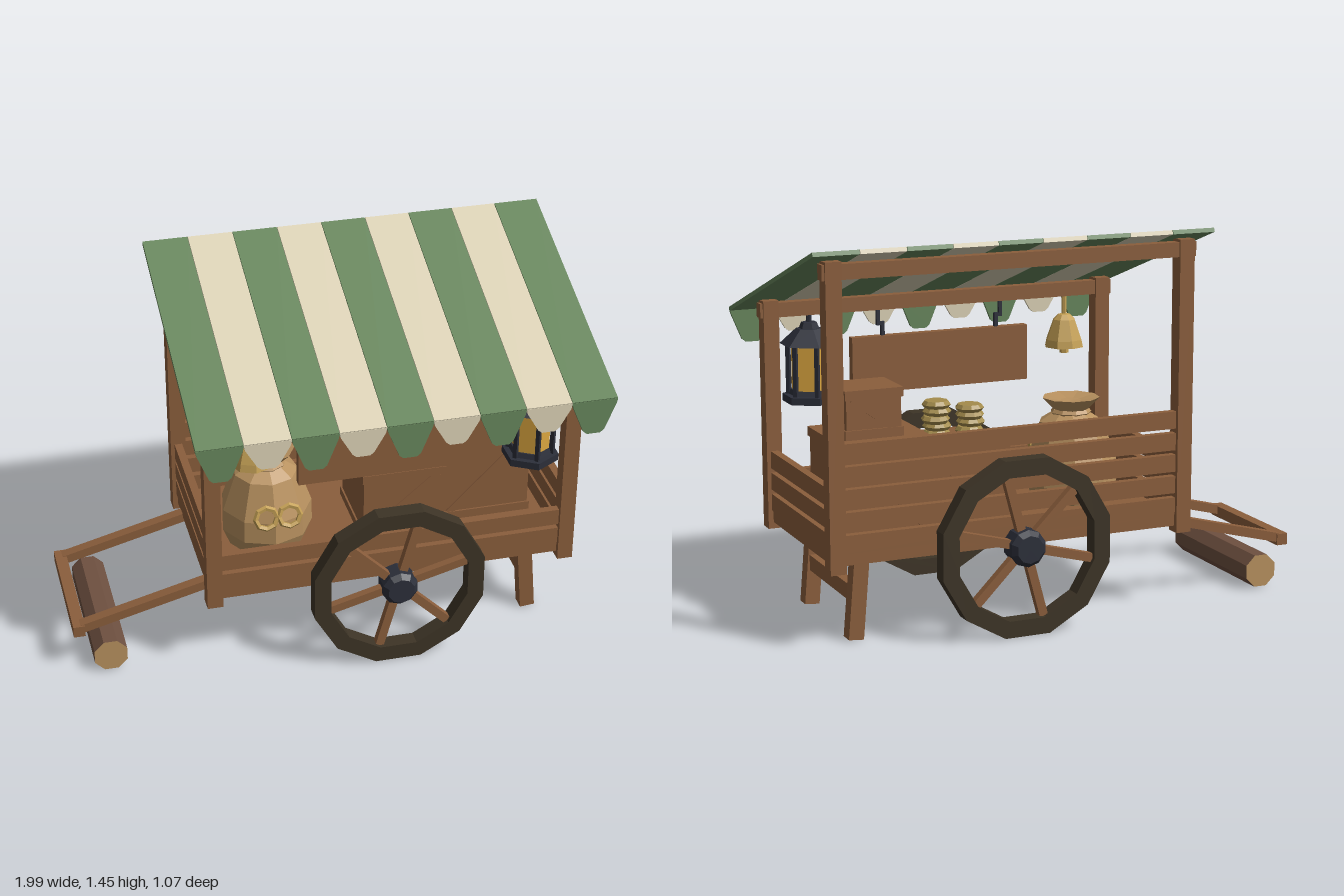
import * as THREE from 'three';

const mat = (name, color) => {
  const m = new THREE.MeshStandardMaterial({ color, flatShading: true });
  m.name = name;
  return m;
};

export function createModel() {
  const wood = mat('wood', 0x8b5e3c), green = mat('green cloth', 0x67865c), cream = mat('cream cloth', 0xdcd2b6);
  const tyre = mat('dark tyre', 0x3d3426), iron = mat('iron', 0x2c2f3a), amber = mat('amber glass', 0xdba63f);
  const sackcloth = mat('sackcloth', 0xb8915f), brass = mat('brass', 0xc4a055), biscuit = mat('biscuit', 0xa48c4c);
  const bark = mat('bark', 0x6e5040);
  sackcloth.side = THREE.DoubleSide;

  const root = new THREE.Group();
  root.name = 'marketCart';
  const group = (name, x = 0, y = 0, z = 0) => {
    const g = new THREE.Group();
    g.name = name;
    g.position.set(x, y, z);
    root.add(g);
    return g;
  };
  const add = (parent, name, geo, material, x = 0, y = 0, z = 0) => {
    const m = new THREE.Mesh(geo, material);
    m.name = name;
    m.position.set(x, y, z);
    parent.add(m);
    return m;
  };
  // box given by its limits on each axis
  const box = (parent, name, material, x0, x1, y0, y1, z0, z1) =>
    add(parent, name, new THREE.BoxGeometry(x1 - x0, y1 - y0, z1 - z0), material,
      (x0 + x1) / 2, (y0 + y1) / 2, (z0 + z1) / 2);
  // beam between two points
  const bar = (parent, name, material, a, b, w, d = w) => {
    const p = new THREE.Vector3(...a), q = new THREE.Vector3(...b), dir = q.clone().sub(p);
    const m = add(parent, name, new THREE.BoxGeometry(w, dir.length(), d), material);
    m.position.copy(p).add(q).multiplyScalar(0.5);
    m.quaternion.setFromUnitVectors(new THREE.Vector3(0, 1, 0), dir.normalize());
    return m;
  };
  const cyl = (parent, name, material, rTop, rBottom, h, sides, x, y, z) =>
    add(parent, name, new THREE.CylinderGeometry(rTop, rBottom, h, sides), material, x, y, z);

  const L = -0.475, R = 0.905, F = 0.313, B = -0.385;

  // bed, posts and slatted sides
  const body = group('cartBody');
  box(body, 'floor', wood, L - 0.01, R + 0.01, 0.315, 0.36, B - 0.01, F + 0.01);
  for (const x of [L, R]) {
    box(body, 'frontPost', wood, x - 0.03, x + 0.03, 0.29, 1.165, F - 0.03, F + 0.03);
    box(body, 'backPost', wood, x - 0.03, x + 0.03, 0.29, 1.405, B - 0.03, B + 0.03);
  }
  for (let i = 0; i < 5; i++) {
    const y0 = 0.36 + i * 0.083, y1 = y0 + 0.066;
    box(body, 'backSlat', wood, L, R, y0, y1, B - 0.015, B + 0.015);
    if (i < 2) box(body, 'frontSlat', wood, L, R, y0, y1, F - 0.015, F + 0.015);
    if (i < 3) for (const x of [L, R]) box(body, 'sideSlat', wood, x - 0.015, x + 0.015, y0, y1, B, F);
  }
  box(body, 'frontBeam', wood, L - 0.04, R + 0.04, 1.1, 1.155, F - 0.022, F + 0.022);
  box(body, 'backBeam', wood, L - 0.04, R + 0.04, 1.34, 1.395, B - 0.022, B + 0.022);

  // striped awning with hanging scallops
  const awning = group('awning');
  const w = 0.1733;
  for (let i = 0; i < 9; i++) {
    const x = -0.567 + w * (i + 0.5), m = i % 2 ? cream : green;
    bar(awning, 'awningStripe', m, [x, 1.104, 0.53], [x, 1.44, -0.45], w - 0.002, 0.016);
    const drop = i % 2 ? 0.105 : 0.135;
    const s = new THREE.Shape();
    s.moveTo(-w / 2, 0);
    s.lineTo(-w / 2 + 0.004, -0.02);
    s.lineTo(-0.04, -drop + 0.012);
    s.lineTo(-0.025, -drop);
    s.lineTo(0.025, -drop);
    s.lineTo(0.04, -drop + 0.012);
    s.lineTo(w / 2 - 0.004, -0.02);
    s.lineTo(w / 2, 0);
    const flap = add(awning, 'awningScallop', new THREE.ExtrudeGeometry(s, { depth: 0.013, bevelEnabled: false }), m, x, 1.108, 0.52);
    flap.rotation.x = -0.02;
  }

  // wheels and axle
  const rim = new THREE.Shape();
  const ring = (path, r) => {
    for (let i = 0; i < 12; i++) {
      const a = (i + 0.5) * Math.PI / 6;
      path[i ? 'lineTo' : 'moveTo'](r * Math.cos(a), r * Math.sin(a));
    }
    path.closePath();
    return path;
  };
  ring(rim, 0.342);
  rim.holes.push(ring(new THREE.Path(), 0.277));
  const rimGeo = new THREE.ExtrudeGeometry(rim, { depth: 0.062, bevelEnabled: false }).translate(0, 0, -0.031);
  const hubGeo = new THREE.LatheGeometry([[0, -0.055], [0.052, -0.055], [0.07, -0.035], [0.07, 0.035], [0.052, 0.055], [0, 0.055]]
    .map(p => new THREE.Vector2(...p)), 10).rotateX(Math.PI / 2);
  for (const z of [0.411, -0.481]) {
    const wheel = group('wheel', 0.215, 0.333, z);
    add(wheel, 'rim', rimGeo, tyre);
    add(wheel, 'hub', hubGeo, iron);
    for (let i = 0; i < 6; i++) {
      const a = Math.PI * (15 + 60 * i) / 180;
      bar(wheel, 'spoke', wood, [0.04 * Math.cos(a), 0.04 * Math.sin(a), 0], [0.29 * Math.cos(a), 0.29 * Math.sin(a), 0], 0.033, 0.03);
    }
  }
  cyl(root, 'axle', iron, 0.025, 0.025, 0.88, 8, 0.215, 0.333, -0.035).rotation.x = Math.PI / 2;

  // rear legs
  const legs = group('legs');
  for (const z of [0.207, -0.277]) bar(legs, 'leg', wood, [0.775, 0.33, z], [0.803, 0.005, z], 0.058, 0.056);
  box(legs, 'legBrace', wood, 0.77, 0.81, 0.14, 0.2, -0.277, 0.207);

  // pulling handles
  const shafts = group('handles');
  for (const z of [0.192, -0.277]) bar(shafts, 'shaft', wood, [-0.44, 0.32, z], [-0.985, 0.178, z], 0.036, 0.042);
  box(shafts, 'handleBar', wood, -1, -0.955, 0.155, 0.2, -0.305, 0.22);

  // log chock lying on the ground
  const log = add(root, 'log', new THREE.CylinderGeometry(0.068, 0.068, 0.58, 8), [bark, sackcloth, sackcloth], -0.867, 0.07, -0.04);
  log.geometry.rotateY(Math.PI / 8).rotateX(Math.PI / 2);

  // crates with lids and diagonal braces
  const crate = (name, x0, x1, y0, y1, z0, z1) => {
    const g = group(name), e = 0.007, t = 0.035;
    box(g, 'crateBox', wood, x0 + e, x1 - e, y0, y1, z0 + e, z1 - e);
    box(g, 'crateLid', wood, x0, x1, y1 - t, y1, z0, z1);
    box(g, 'crateBase', wood, x0, x1, y0, y0 + t, z0, z1);
    for (const z of [z0 + e, z1 - e])
      bar(g, 'crateBrace', wood, [x0 + 0.03, y0 + 0.03, z], [x1 - 0.03, y1 - 0.03, z], 0.03, 0.01);
  };
  crate('largeCrate', 0.482, 0.842, 0.36, 0.724, -0.3, 0.08);
  crate('smallCrate', 0.575, 0.8, 0.724, 0.905, -0.217, -0.017);
  crate('middleCrate', 0.145, 0.478, 0.36, 0.652, -0.2, 0.142);

  // stacks of round biscuits
  for (const [x, z, n] of [[0.21, 0.03, 4], [0.355, 0.012, 5]]) {
    const stack = group('biscuitStack', x, 0.652, z);
    for (let i = 0; i < n; i++) {
      const shift = 0.006 * Math.sin(i * 2.3 + x * 9);
      const profile = [[0, 0], [0.045, 0], [0.056, 0.014], [0.045, 0.028], [0, 0.028]].map(p => new THREE.Vector2(...p));
      add(stack, 'biscuit', new THREE.LatheGeometry(profile, 9), biscuit, shift, i * 0.028, -shift).rotation.y = i * 0.5;
    }
  }

  // tied sack with a pair of rings on its front
  const sack = group('sack', -0.205, 0, 0.01);
  const sackProfile = [[0, 0.36], [0.15, 0.36], [0.178, 0.43], [0.176, 0.52], [0.125, 0.665], [0.062, 0.705], [0.112, 0.758], [0.04, 0.745], [0, 0.742]];
  add(sack, 'sackBody', new THREE.LatheGeometry(sackProfile.map(p => new THREE.Vector2(...p)), 9), sackcloth);
  add(sack, 'sackTie', new THREE.TorusGeometry(0.066, 0.014, 5, 9).rotateX(Math.PI / 2), sackcloth, 0, 0.7, 0);
  for (const x of [-0.035, 0.055])
    add(sack, 'sackRing', new THREE.TorusGeometry(0.042, 0.011, 5, 8), brass, x, 0.55, 0.17).rotation.x = -0.25;

  // blank hanging board
  const sign = group('signBoard');
  box(sign, 'board', wood, -0.15, 0.582, 0.78, 0.998, F - 0.018, F + 0.018);
  for (const [x, s] of [[-0.04, 1], [0.47, -1]]) {
    bar(sign, 'hangerTop', iron, [x, 1.04, F], [x, 1.12, F], 0.014);
    bar(sign, 'hangerStep', iron, [x - s * 0.007, 1.045, F], [x + s * 0.025, 1.045, F], 0.014);
    bar(sign, 'hangerFoot', iron, [x + s * 0.018, 0.99, F], [x + s * 0.018, 1.045, F], 0.014);
  }

  // six-sided lantern
  const lantern = group('lantern', 0.747, 0, 0.315);
  cyl(lantern, 'lanternBase', iron, 0.108, 0.108, 0.028, 6, 0, 0.78, 0);
  cyl(lantern, 'lanternSill', iron, 0.078, 0.085, 0.02, 6, 0, 0.803, 0);
  cyl(lantern, 'lanternGlass', amber, 0.071, 0.071, 0.2, 6, 0, 0.9, 0);
  cyl(lantern, 'lanternRoof', iron, 0.05, 0.115, 0.06, 6, 0, 1.017, 0);
  cyl(lantern, 'lanternCap', iron, 0.03, 0.04, 0.025, 6, 0, 1.058, 0);
  cyl(lantern, 'lanternHook', iron, 0.01, 0.01, 0.06, 6, 0, 1.09, 0);
  for (let i = 0; i < 6; i++) {
    const a = i * Math.PI / 3;
    cyl(lantern, 'lanternPost', iron, 0.011, 0.011, 0.2, 4, 0.083 * Math.sin(a), 0.89, 0.083 * Math.cos(a));
  }

  // hanging bell
  const bell = group('bell', -0.32, 0, F);
  const bellProfile = [[0, 0.905], [0.066, 0.9], [0.08, 0.896], [0.074, 0.925], [0.045, 1.005], [0.025, 1.025], [0, 1.03]];
  add(bell, 'bellBody', new THREE.LatheGeometry(bellProfile.map(p => new THREE.Vector2(...p)), 8), brass);
  cyl(bell, 'clapper', brass, 0.018, 0.018, 0.04, 6, 0, 0.89, 0);
  cyl(bell, 'bellCord', brass, 0.01, 0.01, 0.09, 6, 0, 1.065, 0);

  return root;
}
